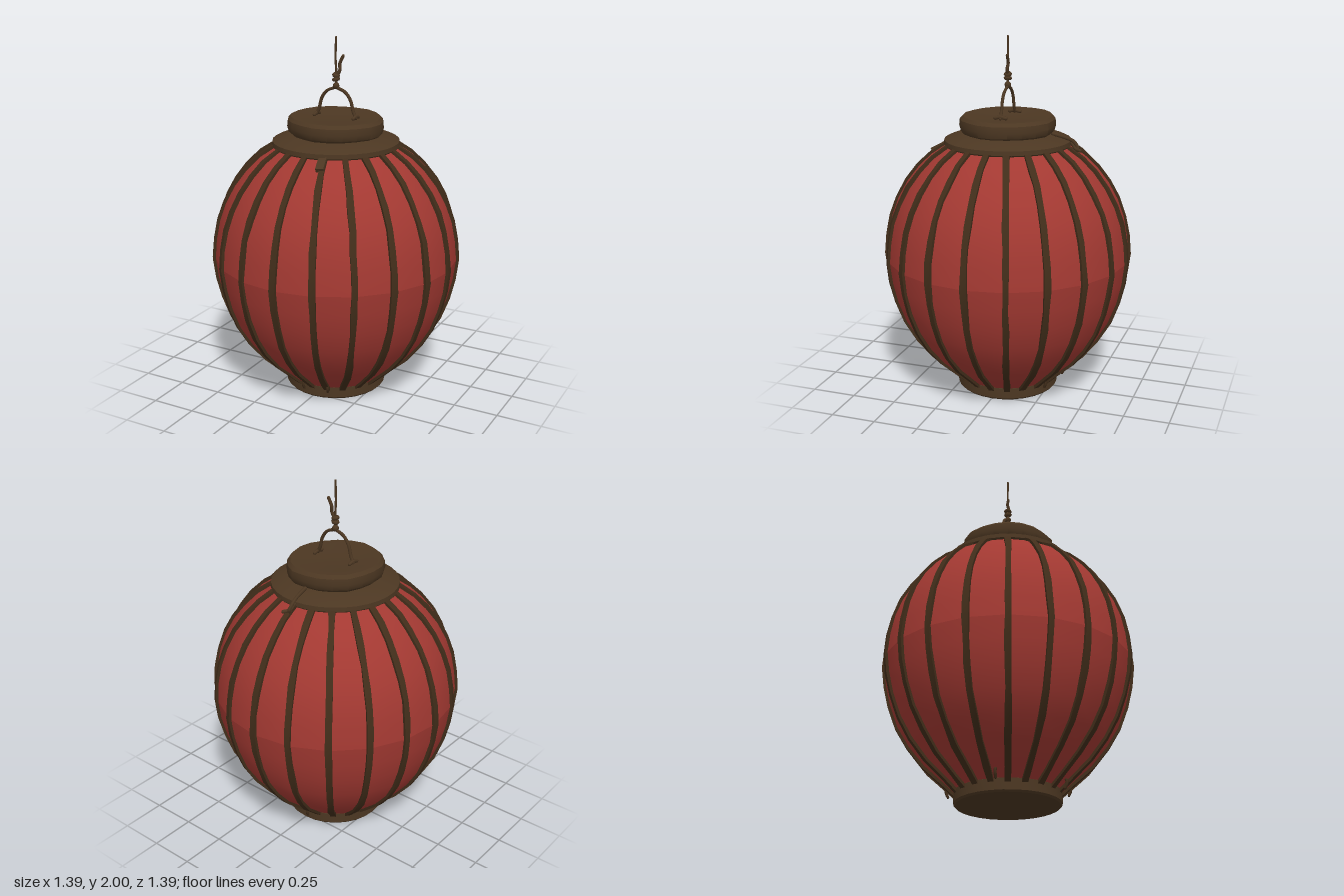
import * as THREE from 'three';
import { toCreasedNormals } from 'three/addons/utils/BufferGeometryUtils.js';

const RIBS = 20;
const V2 = (p) => new THREE.Vector2(p[0], p[1]);
const V3 = (p) => new THREE.Vector3(p[0], p[1], p[2]);

// Shade profile [radius, height]; the two halves meet in a crease at the belly
const LOWER = [[0.275, 0.06], [0.335, 0.115], [0.445, 0.215], [0.53, 0.32], [0.595, 0.43], [0.64, 0.55], [0.668, 0.665], [0.682, 0.78]];
const UPPER = [[0.682, 0.78], [0.672, 0.89], [0.65, 1.0], [0.614, 1.1], [0.562, 1.195], [0.497, 1.28], [0.425, 1.35], [0.335, 1.41]];

export function createModel() {
  const model = new THREE.Group();
  const red = new THREE.MeshStandardMaterial({ color: 0xa33932, side: THREE.DoubleSide });
  red.name = 'red paper';
  const brown = new THREE.MeshStandardMaterial({ color: 0x4c3722 });
  brown.name = 'brown wood';
  const dark = new THREE.MeshStandardMaterial({ color: 0x412d1a });
  dark.name = 'dark rib wood';

  let seed = 7;
  const rand = () => (seed = (seed * 16807) % 2147483647) / 2147483647 - 0.5;

  const add = (name, geometry, material, parent = model) => {
    const mesh = new THREE.Mesh(geometry, material);
    mesh.name = name;
    parent.add(mesh);
    return mesh;
  };
  const turned = (points, sides) => toCreasedNormals(new THREE.LatheGeometry(points.map(V2), sides), 0.6);
  const cord = (name, points, radius, parent = model, material = brown) => {
    const curve = new THREE.CatmullRomCurve3(points.map(V3));
    const group = new THREE.Group();
    group.name = name;
    add(name + 'Strand', new THREE.TubeGeometry(curve, points.length * 4, radius, 6), material, group);
    // rounded ends
    for (const p of [points[0], points[points.length - 1]]) {
      add(name + 'End', new THREE.SphereGeometry(radius, 6, 4), material, group).position.set(...p);
    }
    parent.add(group);
    return group;
  };

  // Paper shade
  add('lowerShade', new THREE.LatheGeometry(LOWER.map(V2), RIBS), red);
  add('upperShade', new THREE.LatheGeometry(UPPER.map(V2), RIBS), red);

  // Bamboo ribs: a rectangular section swept along the shade profile
  const path = [...LOWER, ...UPPER.slice(1)];
  const ribGeometry = () => {
    const position = [], index = [];
    path.forEach(([r, y], i) => {
      const a = path[Math.max(i - 1, 0)], b = path[Math.min(i + 1, path.length - 1)];
      const t = new THREE.Vector2(b[0] - a[0], b[1] - a[1]).normalize();
      const half = 0.0165 + rand() * 0.005, shift = rand() * 0.005, out = 0.013 + rand() * 0.003;
      for (const [x, d] of [[-half, -0.015], [half, -0.015], [half, out], [-half, out]]) {
        position.push(x + shift, y - t.x * d, r + t.y * d);
      }
      if (i === 0) return;
      for (let k = 0; k < 4; k++) {
        const p = (i - 1) * 4 + k, q = (i - 1) * 4 + (k + 1) % 4;
        index.push(p, p + 4, q, q, p + 4, q + 4);
      }
    });
    const n = position.length / 3 - 4;
    index.push(0, 1, 2, 0, 2, 3, n, n + 2, n + 1, n, n + 3, n + 2);
    const geometry = new THREE.BufferGeometry();
    geometry.setAttribute('position', new THREE.Float32BufferAttribute(position, 3));
    geometry.setIndex(index);
    return toCreasedNormals(geometry, 0.6);
  };
  const ribs = new THREE.Group();
  ribs.name = 'ribs';
  model.add(ribs);
  for (let i = 0; i < RIBS; i++) {
    add('rib', ribGeometry(), dark, ribs).rotation.y = (i / RIBS) * Math.PI * 2;
  }

  // Base ring
  add('base', turned([[0, 0], [0.277, 0], [0.286, 0.01], [0.286, 0.07], [0.275, 0.08], [0, 0.08]], 28), brown);

  // Sloping collar
  add('collar', turned([[0, 1.405], [0.345, 1.405], [0.351, 1.412], [0.349, 1.436], [0.325, 1.447], [0.25, 1.472], [0, 1.475]], 32), brown);

  // Worn cap, slightly out of round with a shallow dish on top
  const capGeometry = new THREE.LatheGeometry(
    [[0, 1.46], [0.235, 1.465], [0.258, 1.485], [0.266, 1.515], [0.262, 1.55], [0.245, 1.568], [0.2, 1.567], [0.1, 1.555], [0, 1.556]].map(V2), 20);
  const p = capGeometry.attributes.position;
  for (let i = 0; i < p.count; i++) {
    const angle = Math.atan2(p.getZ(i), p.getX(i));
    const s = 1 + 0.014 * Math.sin(angle * 5 + 1) + 0.008 * Math.sin(angle * 9);
    p.setXYZ(i, p.getX(i) * s, p.getY(i) - 0.02 * p.getX(i), p.getZ(i) * s);
  }
  add('cap', toCreasedNormals(capGeometry, 0.6), brown);

  // Wire handle with a small crossbar at each foot
  const handle = new THREE.Group();
  handle.name = 'handle';
  model.add(handle);
  for (const s of [-1, 1]) {
    cord('handleArm', [[s * 0.122, 1.565, 0], [s * 0.105, 1.6, 0], [s * 0.088, 1.66, 0], [s * 0.055, 1.702, 0], [0, 1.725, 0]], 0.009, handle);
    cord('handleFoot', [[s * 0.12, 1.568, -0.03], [s * 0.12, 1.574, 0], [s * 0.12, 1.568, 0.03]], 0.01, handle);
  }

  // Hanging rope, its knots and loose tail
  const rope = new THREE.Group();
  rope.name = 'rope';
  model.add(rope);
  cord('hangingRope', [[0, 1.72, 0], [0.002, 1.8, 0], [-0.003, 1.88, 0], [0, 1.994, 0]], 0.006, rope);
  cord('ropeTail', [[0, 1.78, 0], [0.022, 1.82, -0.003], [0.018, 1.85, -0.008], [0.038, 1.895, -0.01]], 0.009, rope);
  add('lowerKnot', new THREE.SphereGeometry(0.019, 8, 6), brown, rope).position.set(0, 1.732, 0);
  for (const [y, tilt] of [[1.768, 0.25], [1.79, -0.3]]) {
    const loop = add('upperKnot', new THREE.TorusGeometry(0.012, 0.011, 6, 10), brown, rope);
    loop.position.set(0, y, 0);
    loop.rotation.set(Math.PI / 2, tilt, 0);
  }

  // Tie at the back, running from the cap over the collar
  cord('backTie', [[-0.005, 1.478, -0.255], [-0.012, 1.458, -0.33], [-0.018, 1.44, -0.37], [-0.012, 1.402, -0.395], [-0.008, 1.388, -0.38]], 0.01);
  cord('backTieEnd', [[-0.02, 1.43, -0.36], [-0.01, 1.402, -0.385], [0.012, 1.397, -0.415]], 0.01);

  // Wooden catch at the front
  const catchBlock = add('frontCatch', new THREE.BoxGeometry(0.045, 0.022, 0.085), brown);
  catchBlock.position.set(0.11, 1.39, 0.365);
  catchBlock.rotation.set(0.5, 0.25, 0);

  // Small loose hooks above the base
  for (const angle of [-1.45, -0.1, 0.35, 2.6, 3.3]) {
    const hook = cord('baseHook', [[0, 0.11, 0.3], [0, 0.108, 0.325], [0, 0.085, 0.33], [0, 0.062, 0.32]], 0.008, model, dark);
    hook.rotation.y = angle;
  }
  return model;
}
